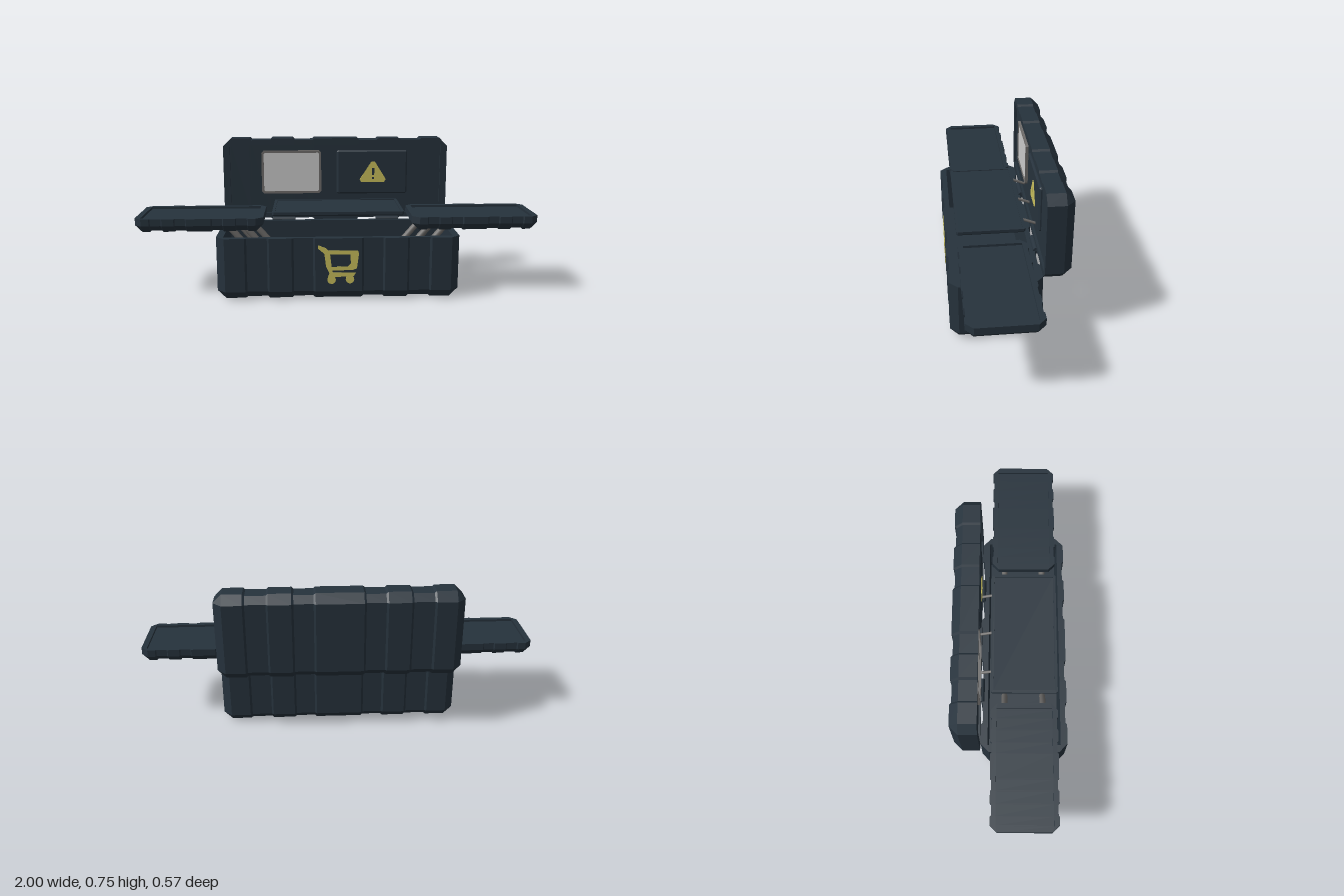
import * as THREE from 'three';

const mat = (name, color) => {
  const m = new THREE.MeshStandardMaterial({ color });
  m.name = name;
  return m;
};

// Chamfered tub along x, open at y = h. Stations are [x, inset]; the last and first inset equal the chamfer.
function tub(stations, w, h, c, wall, depth) {
  const lim = Math.abs(stations[0][0]) - wall, wi = w - wall, f = h - depth;
  const rings = stations.map(([x, d]) => {
    const xi = THREE.MathUtils.clamp(x, -lim, lim);
    return [
      [x, h, w - d], [x, c, w - d], [x, d, w - c], [x, d, c - w], [x, c, d - w], [x, h, d - w],
      [xi, h, -wi], [xi, f, -wi], [xi, f, wi], [xi, h, wi],
    ];
  });
  const pos = [];
  const face = (...p) => {
    for (let i = 1; i < p.length - 1; i++) pos.push(...p[0], ...p[i], ...p[i + 1]);
  };
  for (let j = 0; j < rings.length - 1; j++) {
    const a = rings[j], b = rings[j + 1];
    for (let i = 0; i < 10; i++) {
      const k = (i + 1) % 10;
      face(a[i], a[k], b[k], b[i]);
    }
  }
  // End walls: outside, inside and rim
  [rings[0], rings[rings.length - 1]].forEach((r, end) => {
    for (const ids of [[0, 1, 2, 3, 4, 5], [6, 7, 8, 9], [0, 5, 6, 9]]) {
      const p = ids.map((i) => r[i]);
      face(...(end ? p : p.reverse()));
    }
  });
  const g = new THREE.BufferGeometry();
  g.setAttribute('position', new THREE.Float32BufferAttribute(pos, 3));
  g.computeVertexNormals();
  return g;
}

// Raised ribs with shallow grooves between them, mirrored about the middle
function ribStations(half, c, groove) {
  const k = half / 0.6;
  const right = [[0.115, 0], [0.125, 1], [0.22, 1], [0.23, 0], [0.34, 0], [0.35, 1], [0.45, 1], [0.46, 0]]
    .map(([x, d]) => [x * k, d * groove]);
  right.push([half - c, 0], [half, c]);
  return [...right.map(([x, d]) => [-x, d]).reverse(), ...right];
}

const poly = (pts) => new THREE.Shape(pts.map(([x, y]) => new THREE.Vector2(x, y)));
const rect = (x0, y0, x1, y1, c = 0) => poly(c
  ? [[x0 + c, y0], [x1 - c, y0], [x1, y0 + c], [x1, y1 - c], [x1 - c, y1], [x0 + c, y1], [x0, y1 - c], [x0, y0 + c]]
  : [[x0, y0], [x1, y0], [x1, y1], [x0, y1]]);

export function createModel() {
  const root = new THREE.Group();
  const shell = mat('dark slate', 0x26323c);
  const metal = mat('grey metal', 0x6e6c6a);
  const glass = mat('pale screen', 0xcacaca);
  const yellow = mat('yellow paint', 0xc8be5c);

  const add = (name, geo, material, x = 0, y = 0, z = 0) => {
    const m = new THREE.Mesh(geo, material);
    m.name = name;
    m.position.set(x, y, z);
    root.add(m);
    return m;
  };
  const plate = (name, shape, material, z, depth) =>
    add(name, new THREE.ExtrudeGeometry(shape, { depth, bevelEnabled: false }), material, 0, 0, z);
  const rod = (name, a, b, r) => {
    const p = new THREE.Vector3(...a), q = new THREE.Vector3(...b);
    const m = add(name, new THREE.CylinderGeometry(r, r, p.distanceTo(q), 10), metal);
    m.position.copy(p).add(q).multiplyScalar(0.5);
    m.quaternion.setFromUnitVectors(new THREE.Vector3(0, 1, 0), q.sub(p).normalize());
  };

  // Case body and upright lid
  const ribs = ribStations(0.6, 0.042, 0.009);
  add('caseBody', tub(ribs, 0.22, 0.312, 0.042, 0.035, 0.26), shell, 0, 0, 0.065);
  add('lid', tub(ribs, 0.22, 0.13, 0.042, 0.035, 0.012), shell, 0, 0.532, -0.285).rotation.x = Math.PI / 2;

  for (const s of [-1, 1]) {
    // Hinge barrels
    add('hinge', new THREE.CylinderGeometry(0.017, 0.017, 0.12, 12), shell, s * 0.28, 0.312, -0.155)
      .rotation.z = Math.PI / 2;
    // Side trays on slanted linkages
    add('sideTray', tub(ribStations(0.315, 0.035, 0.006), 0.168, 0.07, 0.035, 0.028, 0.012),
      shell, s * 0.685, 0.331, 0.065);
    for (const z of [-0.038, 0.168])
      for (const x of [0.46, 0.54])
        rod('trayLink', [s * x, 0.345, z], [s * (x - 0.21), 0.1, z], 0.016);
  }

  // Middle tray and its arms from the lid
  add('middleTray', tub([[-0.325, 0.008], [-0.317, 0], [0.317, 0], [0.325, 0.008]], 0.168, 0.022, 0.008, 0.014, 0.004),
    shell, 0, 0.41, 0.065);
  for (const x of [-0.21, 0, 0.21])
    rod('middleTrayArm', [x, 0.42, -0.095], [x, 0.39, -0.17], 0.007);

  // Lid screen with frame
  const frame = rect(-0.397, 0.455, -0.077, 0.687, 0.012);
  frame.holes.push(rect(-0.385, 0.467, -0.089, 0.675, 0.006));
  plate('screenFrame', frame, metal, -0.17, 0.018);
  plate('screen', rect(-0.387, 0.465, -0.087, 0.677), glass, -0.165, 0.009);

  // Lid panel with a warning triangle
  add('lidPanel', tub([[-0.19, 0.008], [-0.182, 0], [0.182, 0], [0.19, 0.008]], 0.118, 0.016, 0.008, 0.02, 0.002),
    shell, 0.197, 0.569, -0.152).rotation.x = -Math.PI / 2;
  root.children[root.children.length - 1].position.z = -0.153;
  const sign = poly([[0.138, 0.515], [0.262, 0.515], [0.272, 0.53], [0.212, 0.626], [0.194, 0.626], [0.13, 0.53]]);
  sign.holes.push(poly([[0.196, 0.562], [0.199, 0.552], [0.207, 0.552], [0.21, 0.562], [0.21, 0.592], [0.196, 0.592]]));
  sign.holes.push(rect(0.197, 0.53, 0.209, 0.542));
  plate('warningTriangle', sign, yellow, -0.154, 0.004);

  // Painted trolley pictogram on the front rib
  const paint = (shape) => plate('trolleyMark', shape, yellow, 0.283, 0.005);
  const basket = poly([[-0.1, 0.278], [-0.06, 0.262], [-0.05, 0.25], [0.095, 0.25], [0.1, 0.235], [0.09, 0.16],
    [0.07, 0.152], [-0.03, 0.149], [-0.028, 0.135], [-0.045, 0.135], [-0.062, 0.17], [-0.07, 0.235], [-0.1, 0.26]]);
  basket.holes.push(poly([[-0.042, 0.232], [-0.034, 0.167], [0.045, 0.17], [0.06, 0.185], [0.058, 0.23]]));
  paint(basket);
  paint(poly([[-0.052, 0.115], [0.075, 0.12], [0.085, 0.138], [-0.045, 0.138]]));
  for (const [x, y] of [[-0.035, 0.102], [0.056, 0.104]]) {
    const wheel = new THREE.Shape();
    wheel.absarc(x, y, 0.021, 0, Math.PI * 2);
    paint(wheel);
  }
  return root;
}
